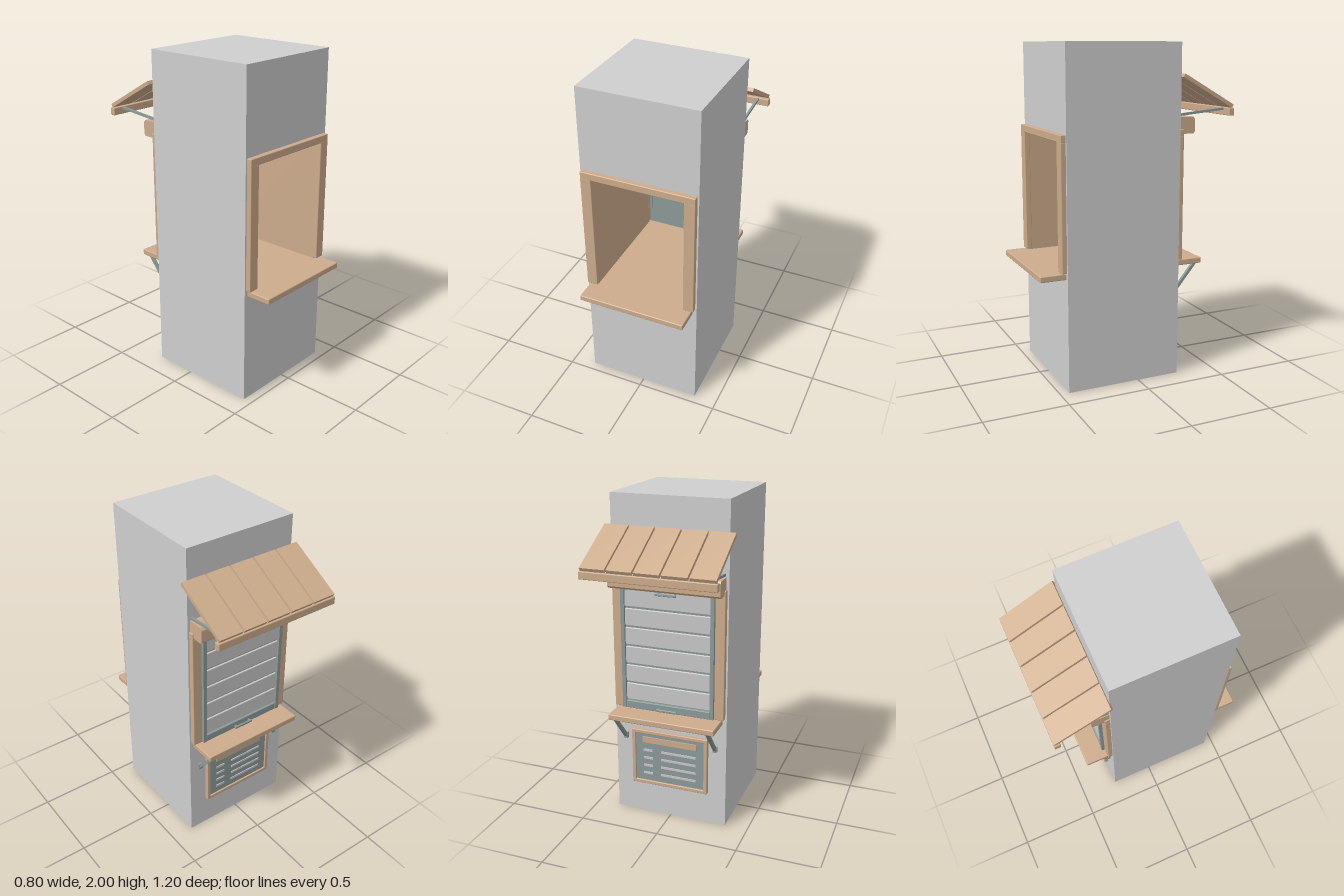
import * as THREE from 'three';
import { RoundedBoxGeometry } from 'three/addons/geometries/RoundedBoxGeometry.js';

const mat = (name, color) => {
  const m = new THREE.MeshStandardMaterial({ color });
  m.name = name;
  return m;
};

export function createModel() {
  const root = new THREE.Group();
  root.name = 'serviceHatch';
  const wall = mat('wall grey', 0xcfcfcf);
  const wood = mat('light wood', 0xcdac8c);
  const steel = mat('blue grey steel', 0x8c9b99);
  const slatGrey = mat('slat grey', 0xc8c8c8);

  const group = (name) => {
    const g = new THREE.Group();
    g.name = name;
    root.add(g);
    return g;
  };
  // Box given by its limits on each axis; r softens the edges
  const box = (parent, name, material, [x0, x1], [y0, y1], [z0, z1], r = 0) => {
    const s = [x1 - x0, y1 - y0, z1 - z0];
    const geo = r ? new RoundedBoxGeometry(...s, 2, r) : new THREE.BoxGeometry(...s);
    const m = new THREE.Mesh(geo, material);
    m.name = name;
    m.position.set((x0 + x1) / 2, (y0 + y1) / 2, (z0 + z1) / 2);
    parent.add(m);
    return m;
  };
  // Square bar between two points in the y-z plane
  const bar = (parent, name, material, x, [y0, z0], [y1, z1], width, thick) => {
    const len = Math.hypot(y1 - y0, z1 - z0);
    const m = new THREE.Mesh(new THREE.BoxGeometry(width, thick, len), material);
    m.name = name;
    m.position.set(x, (y0 + y1) / 2, (z0 + z1) / 2);
    m.rotation.x = -Math.atan2(y1 - y0, z1 - z0);
    parent.add(m);
    return m;
  };

  // Wall block with the opening cut through it
  const rect = (P, x, y0, y1) => {
    const p = new P();
    p.moveTo(-x, y0).lineTo(x, y0).lineTo(x, y1).lineTo(-x, y1).closePath();
    return p;
  };
  const outline = rect(THREE.Shape, 0.357, 0, 2);
  outline.holes.push(rect(THREE.Path, 0.3, 0.69, 1.48));
  const block = new THREE.Mesh(
    new THREE.ExtrudeGeometry(outline, { depth: 0.71, bevelEnabled: false }), wall);
  block.name = 'wallBlock';
  block.position.z = -0.265;
  root.add(block);

  // Wooden lining, counter and the trim on both faces
  const lining = group('lining');
  for (const s of [-1, 1]) {
    box(lining, 'sideLining', wood, s < 0 ? [-0.305, -0.282] : [0.282, 0.305], [0.69, 1.48], [-0.27, 0.45]);
  }
  box(lining, 'topLining', wood, [-0.3, 0.3], [1.46, 1.485], [-0.27, 0.45]);
  box(root, 'counter', wood, [-0.332, 0.332], [0.675, 0.711], [-0.435, 0.6], 0.006);
  for (const [name, z] of [['frontFrame', [0.44, 0.475]], ['backFrame', [-0.295, -0.26]]]) {
    const frame = group(name);
    for (const x of [[-0.347, -0.28], [0.28, 0.347]]) {
      box(frame, 'jamb', wood, x, [0.715, 1.46], z, 0.005);
    }
    box(frame, 'lintel', wood, [-0.347, 0.347], [1.455, 1.5], z, 0.005);
  }

  // Roller shutter: steel sheet, slats, guides, bottom rail and catches
  const shutter = group('shutter');
  box(shutter, 'sheet', steel, [-0.282, 0.282], [0.712, 1.47], [-0.293, -0.283]);
  const slats = 6, pitch = (1.465 - 0.765) / slats;
  for (let i = 0; i < slats; i++) {
    const y = 0.765 + i * pitch;
    box(shutter, 'slat', slatGrey, [-0.265, 0.265], [y + 0.006, y + pitch - 0.006], [-0.304, -0.288], 0.004);
  }
  for (const x of [[-0.288, -0.265], [0.265, 0.288]]) {
    box(shutter, 'guide', steel, x, [0.72, 1.47], [-0.314, -0.28]);
  }
  box(shutter, 'bottomRail', steel, [-0.265, 0.265], [0.718, 0.765], [-0.311, -0.285], 0.004);
  for (const y of [0.735, 1.45]) {
    box(shutter, 'handle', steel, [-0.065, 0.065], [y - 0.008, y + 0.008], [-0.334, -0.322], 0.004);
    for (const x of [-0.05, 0.05]) {
      box(shutter, 'handlePost', steel, [x - 0.006, x + 0.006], [y - 0.006, y + 0.006], [-0.326, -0.295]);
    }
  }

  // Housing for the rolled shutter, with a chamfered section
  const section = new THREE.Shape();
  [[0.265, 1.485], [0.29, 1.472], [0.36, 1.472], [0.37, 1.484], [0.37, 1.555], [0.358, 1.57], [0.265, 1.57]]
    .forEach(([x, y], i) => (i ? section.lineTo(x, y) : section.moveTo(x, y)));
  const housingGeo = new THREE.ExtrudeGeometry(section, { depth: 0.68, bevelEnabled: false });
  housingGeo.translate(0, 0, -0.34).rotateY(Math.PI / 2);
  const housing = new THREE.Mesh(housingGeo, wood);
  housing.name = 'shutterHousing';
  root.add(housing);

  // Awning of five sloping planks on a front beam
  const awning = group('awning');
  for (let i = -2; i <= 2; i++) {
    bar(awning, 'plank', wood, i * 0.159, [1.812, -0.265], [1.627, -0.594], 0.149, 0.022);
  }
  box(awning, 'frontBeam', wood, [-0.4, 0.4], [1.572, 1.618], [-0.6, -0.565], 0.005);

  // Steel struts below the awning and the counter
  const struts = group('struts');
  for (const s of [-1, 1]) {
    bar(struts, 'awningStrut', steel, s * 0.33, [1.583, -0.262], [1.61, -0.57], 0.014, 0.014);
    bar(struts, 'counterStrut', steel, s * 0.29, [0.505, -0.272], [0.678, -0.418], 0.02, 0.018);
    box(struts, 'strutFoot', steel, [s * 0.29 - 0.012, s * 0.29 + 0.012], [0.495, 0.53], [-0.285, -0.26]);
  }

  // Notice board under the back counter
  const board = group('noticeBoard');
  box(board, 'panel', steel, [-0.235, 0.235], [0.215, 0.56], [-0.281, -0.262]);
  for (const x of [[-0.245, -0.222], [0.222, 0.245]]) {
    box(board, 'sideRail', wood, x, [0.205, 0.57], [-0.291, -0.262], 0.004);
  }
  for (const y of [[0.205, 0.228], [0.547, 0.57]]) {
    box(board, 'crossRail', wood, [-0.245, 0.245], y, [-0.291, -0.262], 0.004);
  }
  box(board, 'titleStrip', wood, [-0.175, 0.175], [0.487, 0.525], [-0.288, -0.28]);
  for (let i = 0; i < 4; i++) {
    const y = 0.435 - i * 0.052;
    box(board, 'shortLine', slatGrey, [0.11, 0.17], [y - 0.007, y + 0.007], [-0.286, -0.28]);
    box(board, 'longLine', slatGrey, [-0.17, 0.055], [y - 0.007, y + 0.007], [-0.286, -0.28]);
  }
  return root;
}
